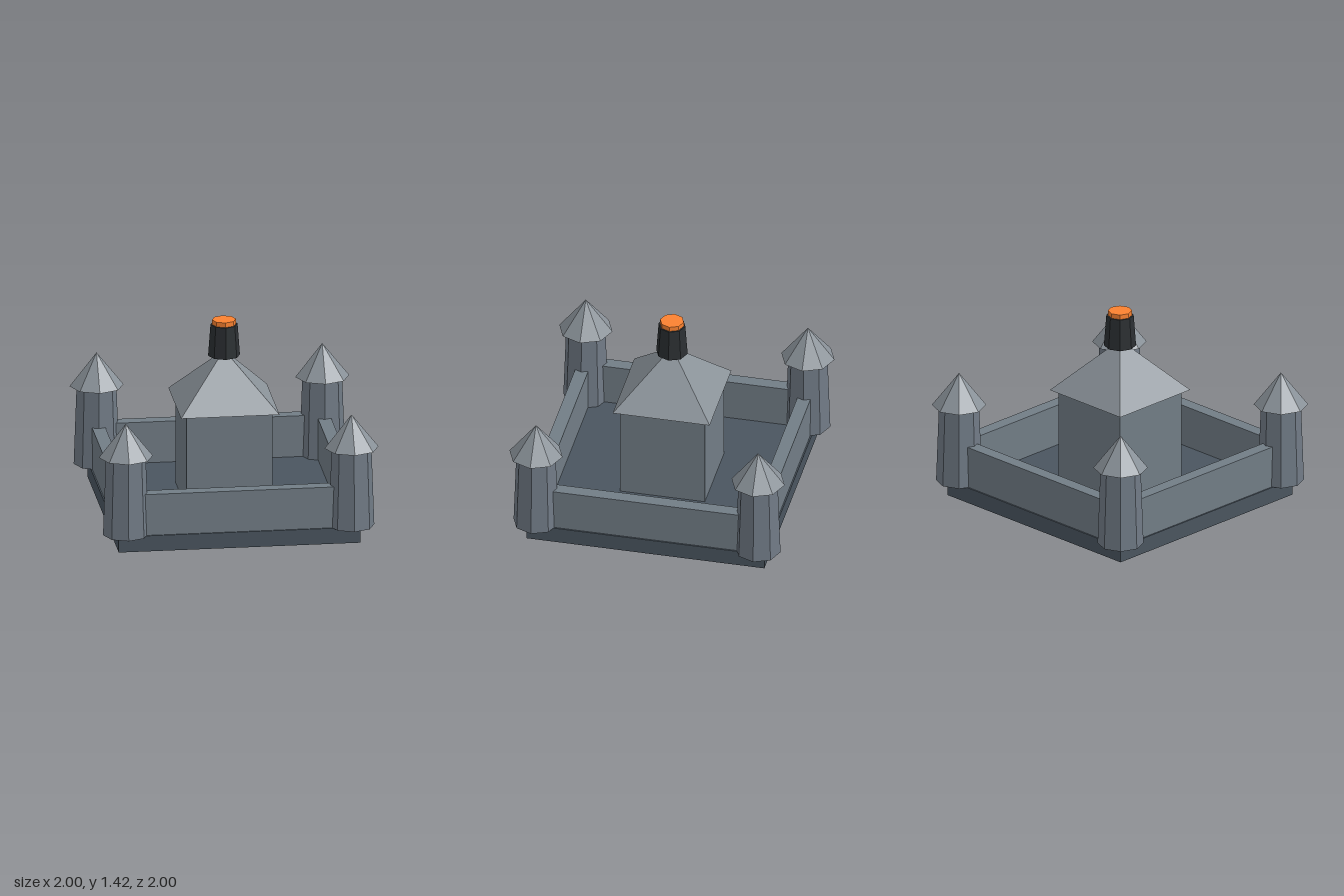
import * as THREE from 'three';

const paint = (color) =>
  new THREE.MeshStandardMaterial({ color, flatShading: true, side: THREE.DoubleSide });

// Drops the underside of a box (group 3) or a cylinder (group 2)
function openBelow(geometry) {
  const underside = geometry.type === 'BoxGeometry' ? 3 : 2;
  const group = geometry.groups.find((g) => g.materialIndex === underside);
  const index = Array.from(geometry.index.array);
  index.splice(group.start, group.count);
  geometry.setIndex(index);
  geometry.clearGroups();
  return geometry;
}

const openBox = (w, h, d) => openBelow(new THREE.BoxGeometry(w, h, d));
const openTube = (top, bottom, h) => openBelow(new THREE.CylinderGeometry(top, bottom, h, 8));
const openCone = (radius, h, sides) => new THREE.ConeGeometry(radius, h, sides, 1, true);

export function createModel() {
  const fort = new THREE.Group();
  fort.name = 'fort';

  const baseMat = paint(0x4a555f);
  const wallMat = paint(0x727d86);
  const towerMat = paint(0x707a85);
  const roofMat = paint(0x8a9299);
  const chimneyMat = paint(0x2b2f32);
  const glowMat = paint(0xfb8230);

  function add(parent, name, geometry, material, x, bottom, z) {
    geometry.computeBoundingBox();
    const mesh = new THREE.Mesh(geometry, material);
    mesh.name = name;
    mesh.position.set(x, bottom - geometry.boundingBox.min.y, z);
    parent.add(mesh);
  }

  // Hollow ground slab
  const floor = 0.116;
  add(fort, 'base', openBox(1.73, floor, 1.73), baseMat, 0, 0, 0);

  // Perimeter walls
  const outer = 0.855, thick = 0.095, wallHeight = 0.305;
  const mid = outer - thick / 2;
  for (const s of [1, -1]) {
    add(fort, s > 0 ? 'frontWall' : 'backWall',
      openBox(outer * 2, wallHeight, thick), wallMat, 0, floor, s * mid);
    add(fort, s > 0 ? 'leftWall' : 'rightWall',
      openBox(thick, wallHeight, (outer - thick) * 2), wallMat, s * mid, floor, 0);
  }

  // Corner towers: tapered hollow shafts reaching into pointed roofs
  for (const x of [0.807, -0.807]) {
    for (const z of [0.807, -0.807]) {
      const tower = new THREE.Group();
      tower.name = `${z > 0 ? 'front' : 'back'}${x > 0 ? 'Left' : 'Right'}Tower`;
      tower.position.set(x, 0, z);
      add(tower, 'towerShaft', openTube(0.141, 0.163, 0.62), towerMat, 0, floor, 0);
      add(tower, 'towerRoof', openCone(0.193, 0.245, 8), roofMat, 0, 0.696, 0);
      fort.add(tower);
    }
  }

  // Central keep with a square pyramid roof
  add(fort, 'keep', openBox(0.615, 0.694, 0.615), wallMat, 0, floor, 0);
  const keepRoof = openCone(0.352 * Math.SQRT2, 0.385, 4).rotateY(Math.PI / 4);
  add(fort, 'keepRoof', keepRoof, roofMat, 0, 0.808, 0);

  // Chimney and its glowing top
  add(fort, 'chimney', openTube(0.097, 0.114, 0.232), chimneyMat, 0, 1.154, 0);
  add(fort, 'chimneyGlow', openTube(0.086, 0.086, 0.055), glowMat, 0, 1.366, 0);

  return fort;
}
